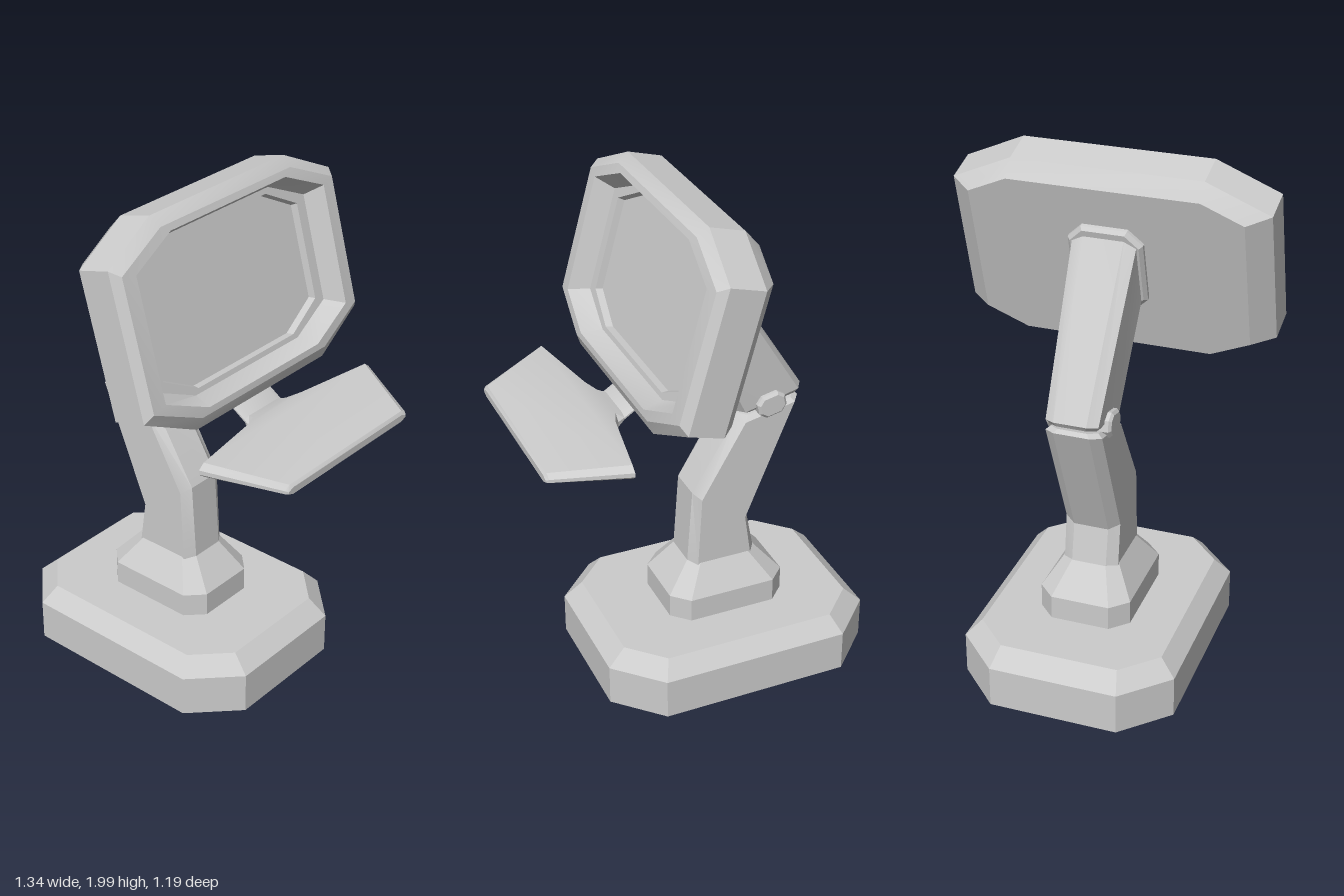
import * as THREE from 'three';
import { toCreasedNormals } from 'three/addons/utils/BufferGeometryUtils.js';

const material = new THREE.MeshStandardMaterial({ color: 0xcccccc });

// Eight-sided cross-section spanning p to q in the xy plane, and +-hz in depth,
// with corners cut by bevelA along p-q and by bevelZ in depth.
function ring(p, q, hz, bevelA, bevelZ) {
  const a = new THREE.Vector3(...p, 0);
  const b = new THREE.Vector3(...q, 0);
  const t = bevelA / a.distanceTo(b);
  const at = (s, z) => a.clone().lerp(b, s).setZ(z);
  const w = hz - bevelZ;
  return [
    at(t, -hz), at(1 - t, -hz), at(1, -w), at(1, w),
    at(1 - t, hz), at(t, hz), at(0, w), at(0, -w),
  ];
}

// Closed surface through a list of rings, always facing outward.
function loft(rings) {
  const tris = [];
  const n = rings[0].length;
  for (let i = 0; i < rings.length - 1; i++) {
    for (let j = 0; j < n; j++) {
      const k = (j + 1) % n;
      const [a, b, c, d] = [rings[i][j], rings[i][k], rings[i + 1][k], rings[i + 1][j]];
      tris.push([a, b, c], [a, c, d]);
    }
  }
  const end = rings[rings.length - 1];
  for (let j = 1; j < n - 1; j++) {
    tris.push([rings[0][0], rings[0][j + 1], rings[0][j]], [end[0], end[j], end[j + 1]]);
  }
  let volume = 0;
  for (const [a, b, c] of tris) volume += a.dot(b.clone().cross(c));
  const points = tris.flatMap(([a, b, c]) => (volume < 0 ? [a, c, b] : [a, b, c]));
  const geometry = new THREE.BufferGeometry().setFromPoints(points);
  return toCreasedNormals(geometry, 0.4);
}

// Level ring at height y, from x0 to x1.
const level = (y, x0, x1, hz, bevel) => ring([x0, y], [x1, y], hz, bevel, bevel);

// Ring in the tilted frame of the display: n is forward, u is up.
const TILT = 0.272;
const CENTRE = 1.512;
function tilted(n, u0, u1, hz, bevelU, bevelZ) {
  const c = Math.cos(TILT), s = Math.sin(TILT);
  const point = (u) => [n * c - u * s, n * s + u * c];
  return ring(point(u0), point(u1), hz, bevelU, bevelZ);
}

export function createModel() {
  const group = new THREE.Group();
  const add = (name, geometry) => {
    const mesh = new THREE.Mesh(geometry, material);
    mesh.name = name;
    group.add(mesh);
  };

  // Heavy foot with chamfered top
  add('base', loft([
    level(0, -0.67, 0.42, 0.42, 0.17),
    level(0.165, -0.67, 0.42, 0.42, 0.17),
    level(0.23, -0.6, 0.35, 0.36, 0.13),
  ]));

  // Tapered socket for the arm
  add('pedestal', loft([
    level(0.22, -0.37, 0.11, 0.18, 0.065),
    level(0.325, -0.37, 0.11, 0.18, 0.065),
    level(0.44, -0.268, 0.016, 0.108, 0.04),
  ]));

  // Bent lower arm
  add('lowerArm', loft([
    ring([-0.268, 0.43], [0.016, 0.43], 0.108, 0.03, 0.04),
    ring([-0.238, 0.587], [-0.005, 0.746], 0.108, 0.03, 0.04),
    ring([-0.44, 1.085], [-0.178, 1.027], 0.108, 0.03, 0.04),
    ring([-0.425, 1.097], [-0.2, 1.05], 0.09, 0.025, 0.035),
  ]));

  // Upper arm leaning forward to the display
  add('upperArm', loft([
    ring([-0.44, 1.115], [-0.205, 1.06], 0.09, 0.025, 0.035),
    ring([-0.452, 1.135], [-0.185, 1.068], 0.1, 0.025, 0.038),
    ring([-0.085, 1.72], [-0.01, 1.44], 0.122, 0.025, 0.045),
  ]));

  // Hinge pin through the elbow
  const [hx, hy, hc] = [0.048, 0.037, 0.02];
  const outline = [
    [-hx, -hy + hc], [-hx + hc, -hy], [hx - hc, -hy], [hx, -hy + hc],
    [hx, hy - hc], [hx - hc, hy], [-hx + hc, hy], [-hx, hy - hc],
  ].map(([x, y]) => new THREE.Vector2(x, y));
  const hinge = new THREE.ExtrudeGeometry(new THREE.Shape(outline), {
    depth: 0.23, bevelSize: 0.01, bevelThickness: 0.01, bevelSegments: 1,
  });
  hinge.translate(0, 0, -0.115).rotateZ(-0.22).translate(-0.312, 1.093, 0);
  add('elbowHinge', hinge);

  // Collar joining the arm to the display back
  add('mountCollar', loft([
    tilted(0.365, 1.36, 1.69, 0.13, 0.05, 0.05),
    tilted(0.38, 1.345, 1.7, 0.142, 0.055, 0.055),
    tilted(0.41, 1.345, 1.7, 0.142, 0.055, 0.055),
  ]));

  // Display shell, rounded bezel and sunken screen:
  // forward, half height, half width, corner cut up, corner cut across
  add('display', loft([
    [0.393, 0.343, 0.515, 0.075, 0.155],
    [0.46, 0.388, 0.597, 0.115, 0.237],
    [0.597, 0.388, 0.597, 0.115, 0.237],
    [0.628, 0.345, 0.57, 0.1, 0.22],
    [0.632, 0.32, 0.51, 0.09, 0.2],
    [0.557, 0.29, 0.475, 0.085, 0.185],
    [0.557, 0.27, 0.43, 0.085, 0.16],
    [0.53, 0.265, 0.425, 0.085, 0.16],
  ].map(([n, h, hz, bu, bz]) => tilted(n, CENTRE - h, CENTRE + h, hz, bu, bz))));

  // Neck and fanned tray: x, bottom, top, half width
  add('tray', loft([
    [0.16, 1.235, 1.255, 0.105],
    [0.28, 1.155, 1.18, 0.105],
    [0.31, 1.125, 1.19, 0.12],
    [0.335, 1.13, 1.197, 0.18],
    [0.395, 1.152, 1.208, 0.492],
    [0.66, 1.122, 1.162, 0.355],
    [0.67, 1.125, 1.152, 0.345],
  ].map(([x, y0, y1, hz]) => ring([x, y0], [x, y1], hz, (y1 - y0) * 0.35, 0.025))));

  return group;
}
